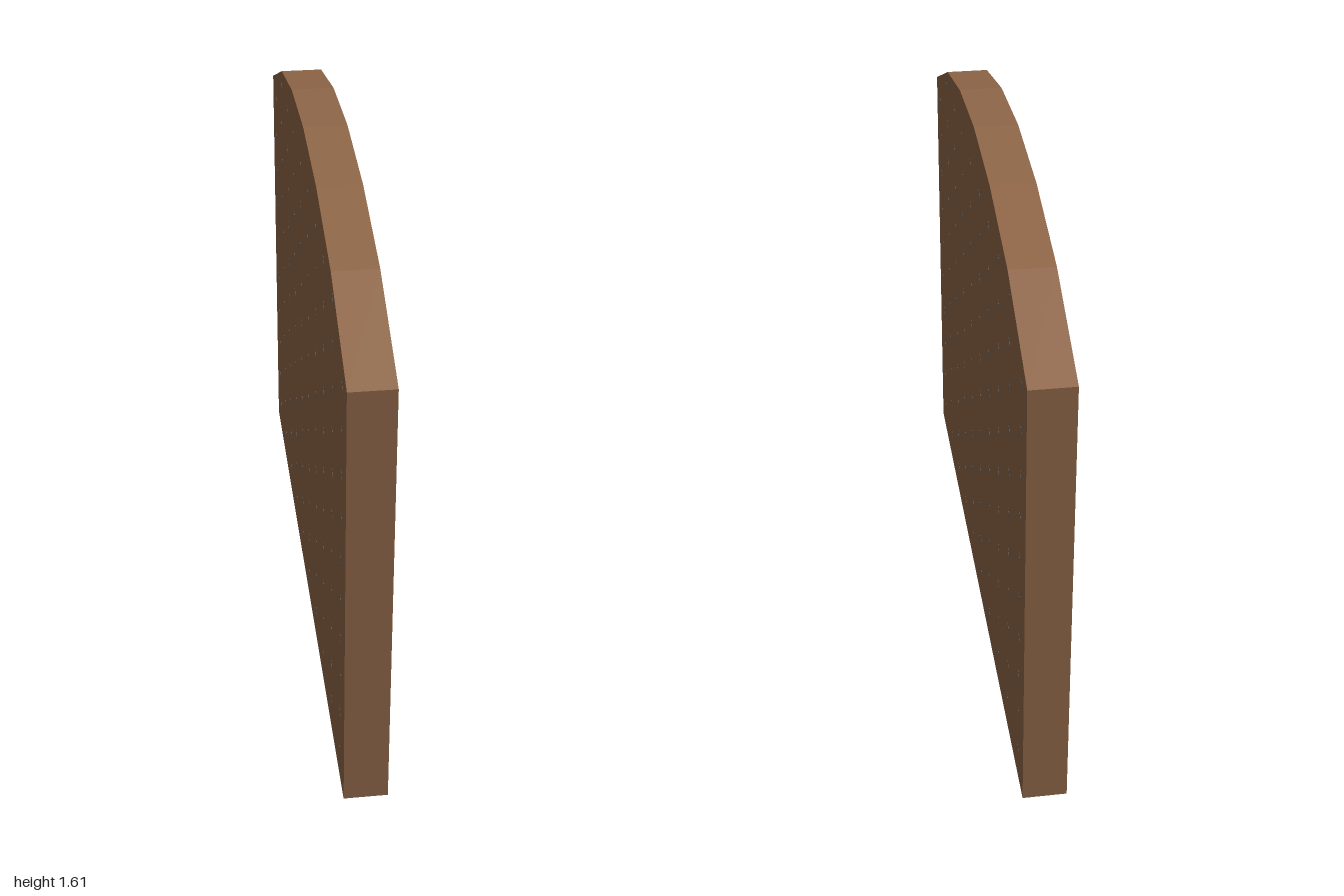
import * as THREE from 'three';

export function createModel() {
  const model = new THREE.Group();
  const wood = new THREE.MeshStandardMaterial({ name: 'brown wood', color: 0x916849 });
  const metal = new THREE.MeshStandardMaterial({ name: 'dull grey', color: 0x786a60 });
  const thickness = 0.126;

  // Right half of the faceted arch, mirrored for the left half
  const arch = [[1, 1.36], [0.667, 1.51], [0.333, 1.585], [0, 1.61]];
  const top = [...arch, ...arch.slice(0, -1).reverse().map(([z, y]) => [-z, y])];
  const outline = new THREE.Shape(
    [[-1, 0], [1, 0], ...top].map(([z, y]) => new THREE.Vector2(z, y)));

  // Upright panel, extruded across its thickness
  const panelGeometry = new THREE.ExtrudeGeometry(outline, { depth: thickness, bevelEnabled: false });
  panelGeometry.translate(0, 0, -thickness / 2);
  panelGeometry.rotateY(Math.PI / 2);
  const panel = new THREE.Mesh(panelGeometry, wood);
  panel.name = 'archedPanel';
  model.add(panel);

  // Grid of small pegs running through the panel, flush with both faces
  const pegs = new THREE.Group();
  pegs.name = 'pegs';
  const pegGeometry = new THREE.CylinderGeometry(0.015, 0.015, thickness + 0.001, 8);
  pegGeometry.rotateZ(Math.PI / 2);
  for (let row = 0; row < 11; row++) {
    for (let column = 0; column < 10; column++) {
      const y = 0.1 + row * 0.135;
      const z = -0.9 + column * 0.2;
      if (row === 10 && Math.abs(z) > 0.8) continue; // above the arch
      const peg = new THREE.Mesh(pegGeometry, metal);
      peg.name = 'peg';
      peg.position.set(0, y, z);
      pegs.add(peg);
    }
  }
  model.add(pegs);
  return model;
}
